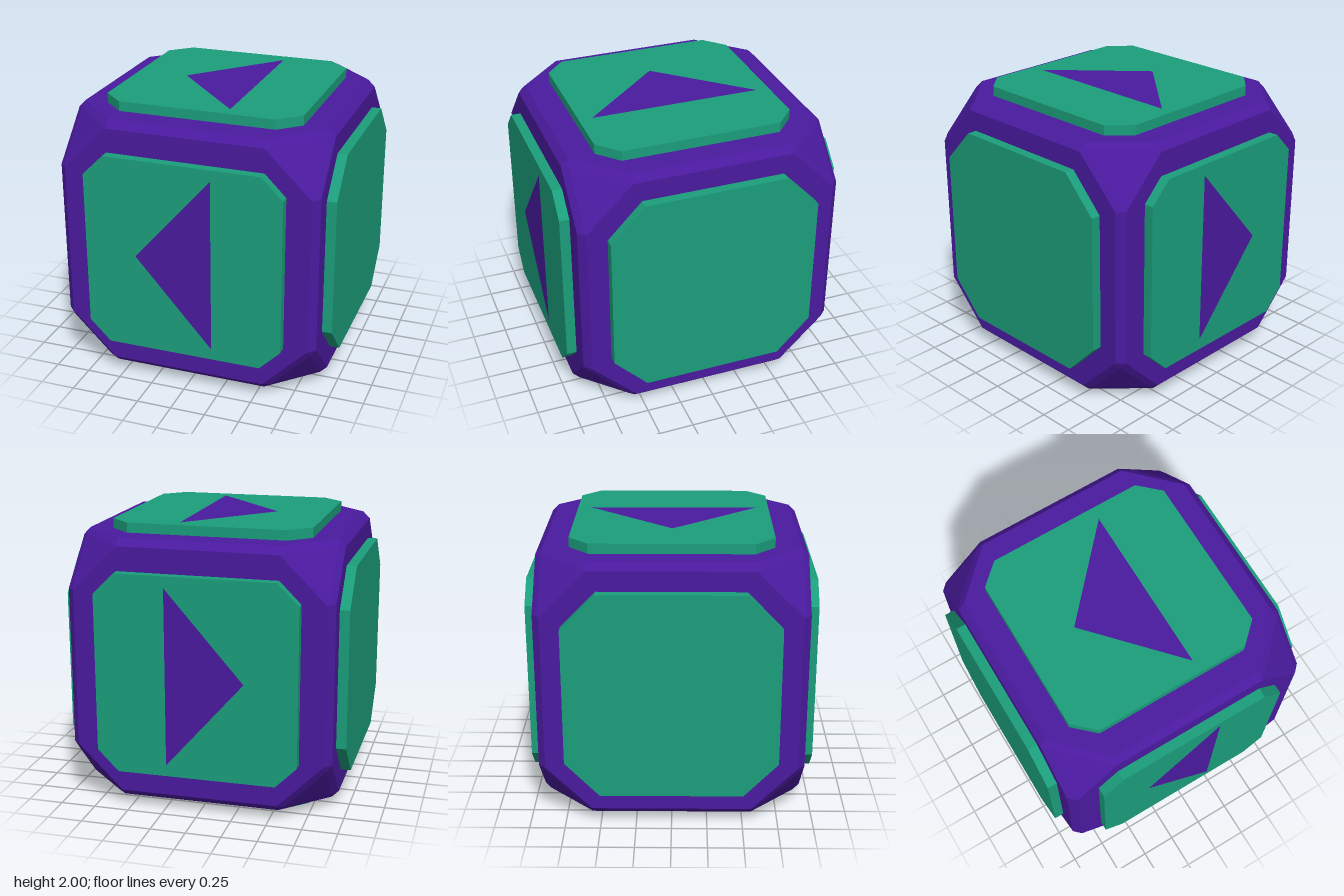
import * as THREE from 'three';
import { ConvexGeometry } from 'three/addons/geometries/ConvexGeometry.js';

const purple = new THREE.MeshStandardMaterial({ color: 0x4a1a9f, flatShading: true });
const green = new THREE.MeshStandardMaterial({ color: 0x1b9e7b, flatShading: true });

// Every distinct ordering and sign of three distances, for cube symmetry.
function cubeSymmetric(a, b, c) {
  const found = new Map();
  for (const p of [[a, b, c], [a, c, b], [b, a, c], [b, c, a], [c, a, b], [c, b, a]]) {
    for (const sx of [-1, 1]) for (const sy of [-1, 1]) for (const sz of [-1, 1]) {
      const v = new THREE.Vector3(p[0] * sx, p[1] * sy, p[2] * sz);
      found.set(v.toArray().join(), v);
    }
  }
  return [...found.values()];
}

// Octagonal outline: half width, half height and the flat part of each side.
function octagon(w, h, cw, ch) {
  return new THREE.Shape([
    [w, -ch], [w, ch], [cw, h], [-cw, h], [-w, ch], [-w, -ch], [-cw, -h], [cw, -h],
  ].map(([x, y]) => new THREE.Vector2(x, y)));
}

function arrow(halfHeight) {
  return [[-0.34, 0], [0.21, -halfHeight], [0.21, halfHeight]].map(([x, y]) => new THREE.Vector2(x, y));
}

// Slab that reaches from inside the body out to the panel surface at 1.0.
function slab(shape, material, name) {
  const geometry = new THREE.ExtrudeGeometry(shape, { depth: 0.1, bevelEnabled: false });
  geometry.translate(0, 0, 0.9);
  const mesh = new THREE.Mesh(geometry, material);
  mesh.name = name;
  return mesh;
}

function panel(name, size, arrowHeight, rx, ry) {
  const group = new THREE.Group();
  group.name = name;
  const outline = octagon(...size);
  if (arrowHeight) {
    // The triangle is set flush into a matching cut-out.
    outline.holes.push(new THREE.Path([...arrow(arrowHeight)].reverse()));
    group.add(slab(new THREE.Shape(arrow(arrowHeight)), purple, 'triangleInlay'));
  }
  group.add(slab(outline, green, 'panelPlate'));
  group.rotation.set(rx, ry, 0);
  return group;
}

export function createModel() {
  const model = new THREE.Group();
  const cube = new THREE.Group();
  cube.name = 'cube';
  cube.position.y = 1;
  model.add(cube);

  // Body: chamfered edges and cut corners with a narrow bevel.
  const body = new THREE.Mesh(new ConvexGeometry([
    ...cubeSymmetric(0.93, 0.88, 0.56),
    ...cubeSymmetric(0.89, 0.89, 0.61),
  ]), purple);
  body.name = 'body';
  cube.add(body);

  // Raised panels, four of them with a triangle pointing to -x.
  const quarter = Math.PI / 2;
  const upright = [0.71, 0.71, 0.56, 0.56];
  const level = [0.71, 0.7, 0.56, 0.56];
  const side = [0.74, 0.74, 0.5, 0.49];
  cube.add(
    panel('frontPanel', upright, 0.63, 0, 0),
    panel('backPanel', upright, 0.63, Math.PI, 0),
    panel('topPanel', level, 0.605, -quarter, 0),
    panel('bottomPanel', level, 0.605, quarter, 0),
    panel('leftPanel', side, 0, 0, quarter),
    panel('rightPanel', side, 0, 0, -quarter),
  );
  return model;
}
